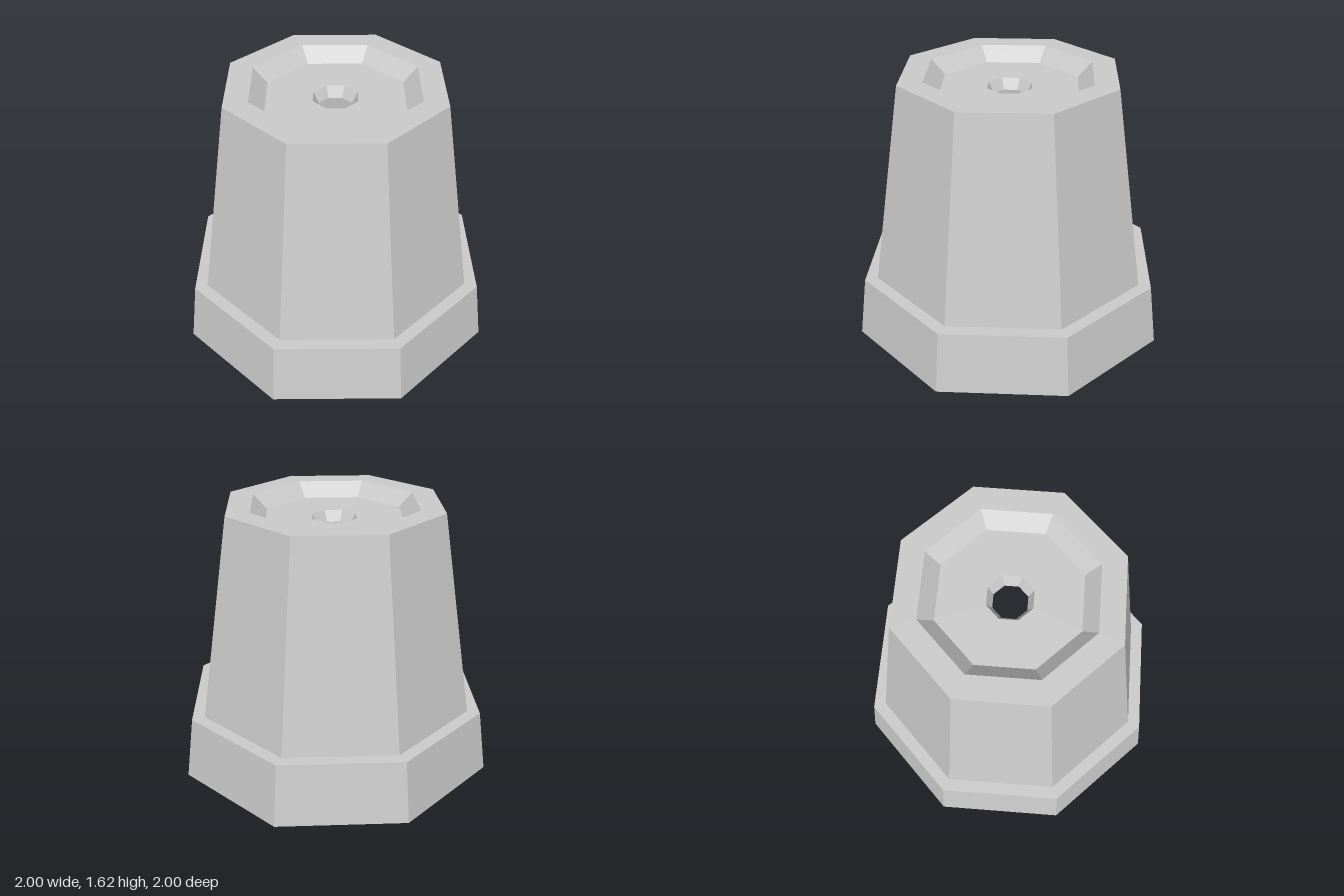
import * as THREE from 'three';

const SIDES = 8;

// Faceted ring surface; a profile running up the outside faces outwards
function lathe(name, profile, material) {
  const points = profile.map(([r, y]) => new THREE.Vector2(r, y));
  const geometry = new THREE.LatheGeometry(points, SIDES).toNonIndexed();
  geometry.computeVertexNormals();
  const mesh = new THREE.Mesh(geometry, material);
  mesh.name = name;
  return mesh;
}

export function createModel() {
  const clay = new THREE.MeshStandardMaterial({ color: 0xcccccc, flatShading: true, side: THREE.DoubleSide });
  clay.name = 'potGrey';

  const pot = new THREE.Group();
  pot.name = 'upturnedPot';

  // Thick collar around the mouth, with its flat ledge
  pot.add(lathe('collar', [[0.84, 0], [1, 0], [0.95, 0.38], [0.87, 0.38]], clay));
  // Tapered outer wall
  pot.add(lathe('outerWall', [[0.87, 0.38], [0.675, 1.62]], clay));
  // Foot ring and recessed base around the drain hole
  pot.add(lathe('base', [[0.675, 1.62], [0.525, 1.62], [0.435, 1.535], [0.14, 1.535]], clay));
  pot.add(lathe('drainHole', [[0.14, 1.535], [0.105, 1.47]], clay));
  // Hollow inside
  pot.add(lathe('innerWall', [[0.105, 1.47], [0.61, 1.47], [0.84, 0]], clay));

  return pot;
}
